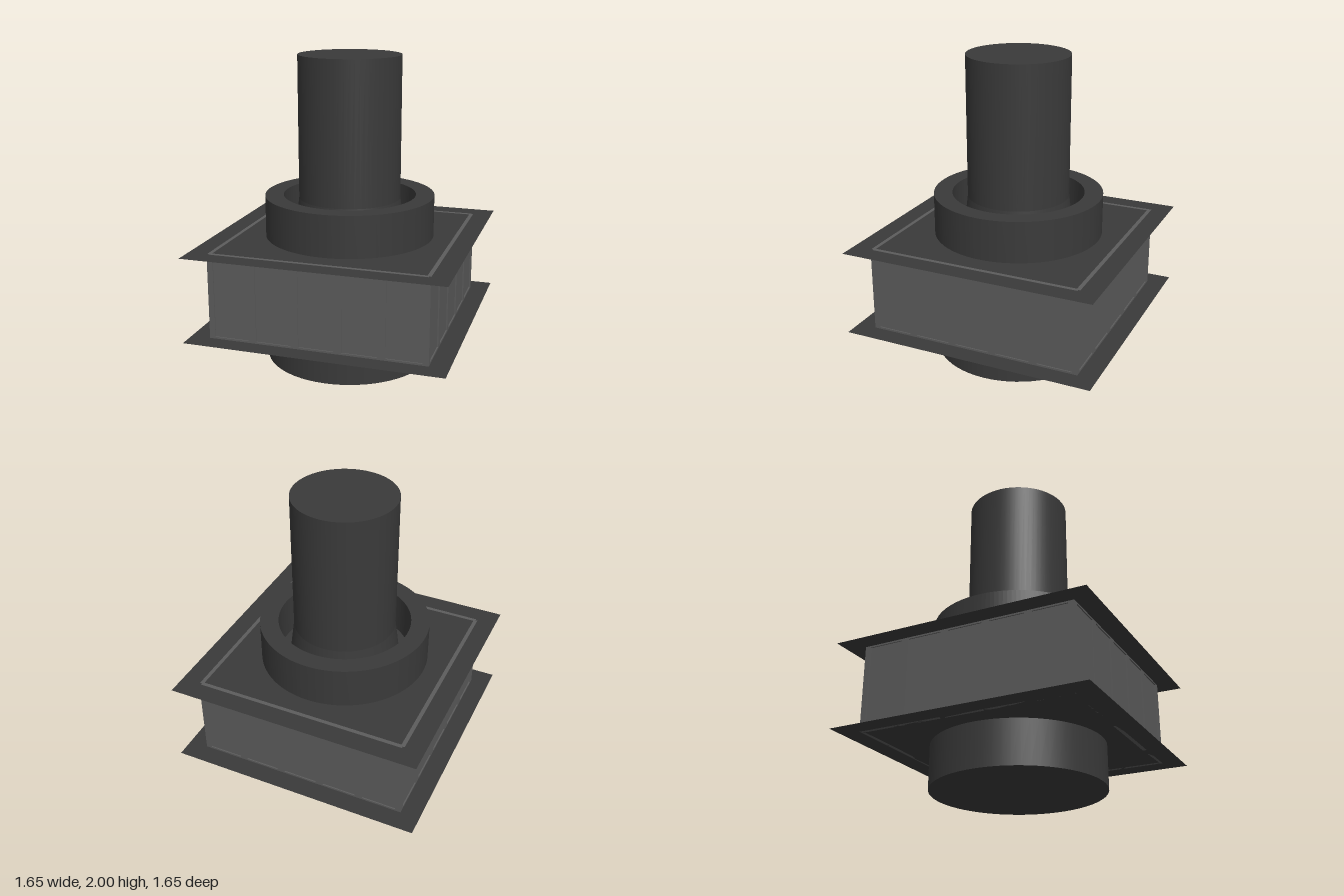
import * as THREE from 'three';

const dark = new THREE.MeshStandardMaterial({ color: 0x3a3a3a });
const sheet = new THREE.MeshStandardMaterial({ color: 0x3a3a3a, side: THREE.DoubleSide });
const light = new THREE.MeshStandardMaterial({ color: 0x5c5c5c });

const LOW = 0.28, HIGH = 0.83;   // heights of the two plates
const HALF = 0.6875;             // wall centre line
const BAY = HALF * 2 / 5;        // width of one wall bay
const THICK = 0.025;

function add(parent, name, geometry, material, x = 0, y = 0, z = 0) {
  const mesh = new THREE.Mesh(geometry, material);
  mesh.name = name;
  mesh.position.set(x, y, z);
  parent.add(mesh);
  return mesh;
}

// One framed bay: two posts, two rails and a recessed pane
function makeBay() {
  const bay = new THREE.Group();
  bay.name = 'wallBay';
  const height = HIGH - LOW + 0.001, mid = LOW + height / 2, rail = 0.012;
  for (const s of [-1, 1]) {
    add(bay, 'post', new THREE.BoxGeometry(THICK, height, THICK), light, s * (BAY - THICK) / 2, mid);
    add(bay, 'rail', new THREE.BoxGeometry(BAY - 2 * THICK, rail, THICK), light, 0, mid + s * (height - rail) / 2);
  }
  add(bay, 'pane', new THREE.BoxGeometry(BAY - 2 * THICK, height - 2 * rail, 0.01), light, 0, mid);
  return bay;
}

export function createModel() {
  const model = new THREE.Group();
  model.name = 'columnTower';

  // Base drum
  add(model, 'baseDrum', new THREE.CylinderGeometry(0.55, 0.55, LOW, 64), dark, 0, LOW / 2);

  // Thin square plates below and above the walls
  for (const [name, y] of [['lowerPlate', LOW], ['upperPlate', HIGH]]) {
    const plate = add(model, name, new THREE.PlaneGeometry(1.65, 1.65), sheet, 0, y);
    plate.rotation.x = -Math.PI / 2;
  }

  // Four walls of five bays each
  for (let side = 0; side < 4; side++) {
    const wall = new THREE.Group();
    wall.name = 'wall';
    for (let i = -2; i <= 2; i++) {
      const bay = makeBay();
      bay.position.set(i * BAY, 0, HALF);
      wall.add(bay);
    }
    // Corner post closing the outer edge
    add(wall, 'cornerPost', new THREE.BoxGeometry(THICK, HIGH - LOW, THICK), light, HALF, (LOW + HIGH) / 2, HALF);
    wall.rotation.y = side * Math.PI / 2;
    model.add(wall);
  }

  // Open collar around the column
  const ring = new THREE.Shape().absarc(0, 0, 0.55, 0, Math.PI * 2, false);
  ring.holes.push(new THREE.Path().absarc(0, 0, 0.43, 0, Math.PI * 2, true));
  const collar = add(model, 'collar',
    new THREE.ExtrudeGeometry(ring, { depth: 1.1 - HIGH, bevelEnabled: false, curveSegments: 64 }), dark, 0, HIGH);
  collar.rotation.x = -Math.PI / 2;

  // Column with a flared foot inside the collar
  add(model, 'column', new THREE.CylinderGeometry(0.33, 0.33, 0.92, 64), dark, 0, 1.54);
  add(model, 'columnFoot', new THREE.CylinderGeometry(0.33, 0.362, 1.08 - HIGH, 64), dark, 0, (1.08 + HIGH) / 2);

  return model;
}
